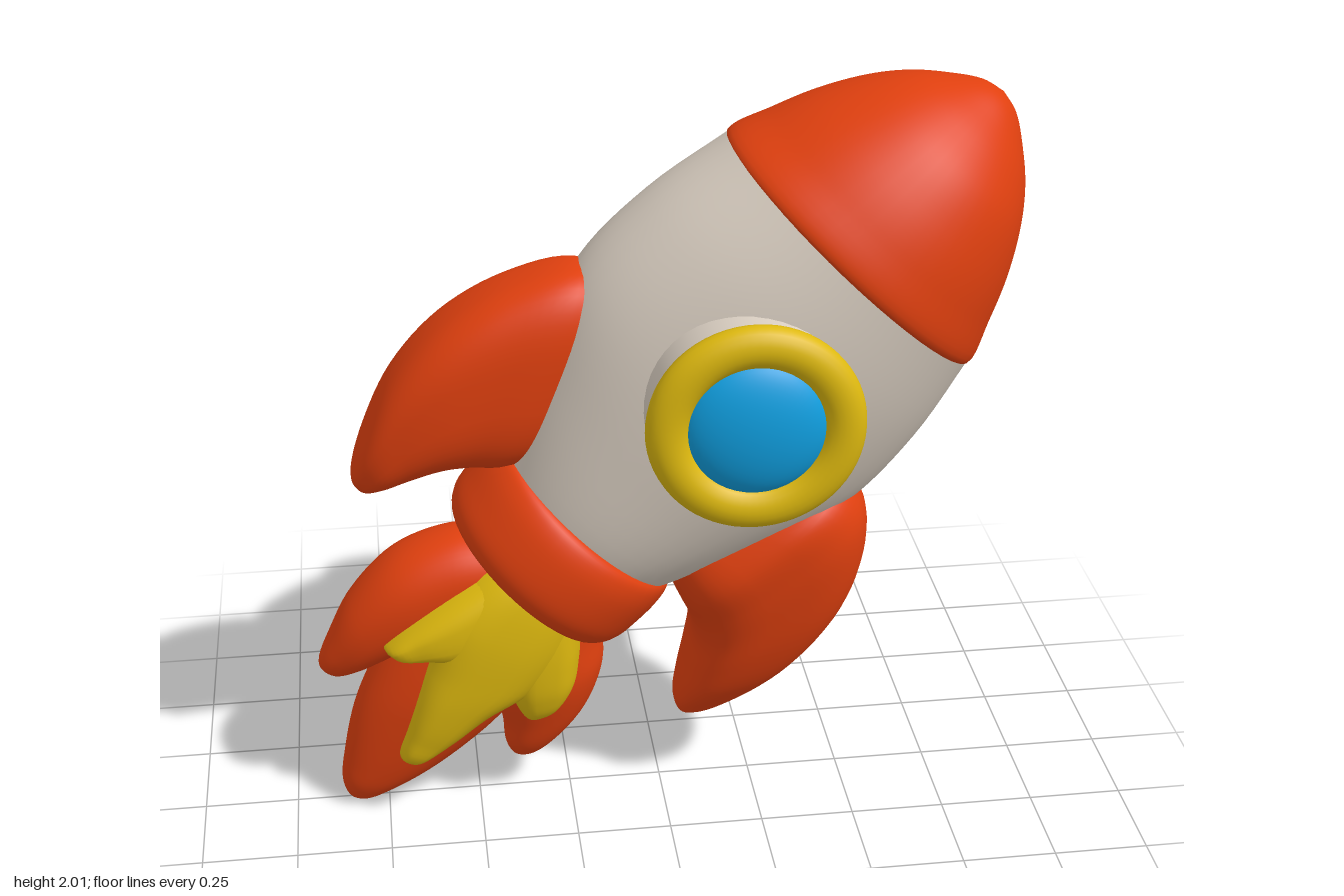
import * as THREE from 'three';

const mat = (name, color) => Object.assign(new THREE.MeshStandardMaterial({ color }), { name });

// Smooth loft through rows [ax, ay, bx, by, rz]: each section is a rounded
// oval spanning a to b in the xy plane, with half thickness rz along z.
// power 1 gives ellipses, smaller values give boxier sections.
function loft(rows, power = 1, steps = 6, sides = 48) {
  const first = rows[0], last = rows[rows.length - 1];
  const tx = last[0] + last[2] - first[0] - first[2];
  const ty = last[1] + last[3] - first[1] - first[3];
  const flip = (first[1] - first[3]) * tx - (first[0] - first[2]) * ty < 0;
  const curveA = new THREE.CatmullRomCurve3(rows.map(r => new THREE.Vector3(r[0], r[1], r[4])));
  const curveB = new THREE.CatmullRomCurve3(rows.map(r => new THREE.Vector3(r[2], r[3], r[4])));
  const round = v => Math.sign(v) * Math.pow(Math.abs(v), power);
  const n = (rows.length - 1) * steps;
  const pos = [], index = [];
  for (let i = 0; i <= n; i++) {
    let a = curveA.getPoint(i / n), b = curveB.getPoint(i / n);
    const rz = Math.max(0, (a.z + b.z) / 2);
    if (flip) [a, b] = [b, a];
    for (let j = 0; j < sides; j++) {
      const t = (j / sides) * Math.PI * 2;
      const c = round(Math.cos(t)), s = round(Math.sin(t));
      pos.push((a.x + b.x + (a.x - b.x) * c) / 2, (a.y + b.y + (a.y - b.y) * c) / 2, rz * s);
      if (i < n) {
        const k = i * sides + j, k2 = i * sides + (j + 1) % sides;
        index.push(k, k2, k + sides, k2, k2 + sides, k + sides);
      }
    }
  }
  const g = new THREE.BufferGeometry();
  g.setAttribute('position', new THREE.Float32BufferAttribute(pos, 3));
  g.setIndex(index);
  g.computeVertexNormals();
  return g;
}

// Section across the tilted rocket axis: s along the axis, rv in-plane radius, rz depth radius
const across = ([s, rv, rz]) => {
  const x = -0.2 + 0.69 * s, y = 0.855 + 0.724 * s;
  return [x - 0.724 * rv, y + 0.69 * rv, x + 0.724 * rv, y - 0.69 * rv, rz];
};

export function createModel() {
  const red = mat('red', 0xe0400f), white = mat('offWhite', 0xd8cdc0);
  const yellow = mat('yellow', 0xdeb90f), blue = mat('blue', 0x109fe0);
  const model = new THREE.Group();
  model.name = 'rocket';
  const add = (name, geometry, material, parent = model) => {
    const m = new THREE.Mesh(geometry, material);
    m.name = name;
    parent.add(m);
    return m;
  };

  // Hull, nose cone and tail collar
  add('hull', loft([
    [-0.08, 0.24, 0.22], [0, 0.28, 0.265], [0.25, 0.4, 0.315], [0.5, 0.485, 0.35],
    [0.75, 0.478, 0.37], [1.02, 0.418, 0.366],
  ].map(across)), white);
  add('noseCone', loft([
    [0.97, 0.39, 0.34], [0.99, 0.428, 0.378], [1.1, 0.385, 0.36], [1.21, 0.335, 0.325],
    [1.32, 0.268, 0.27], [1.4, 0.203, 0.2], [1.46, 0.133, 0.13], [1.51, 0.058, 0.058], [1.525, 0, 0],
  ].map(across)), red);
  add('tailCollar', loft([
    [0.03, 0.24, 0.22], [0.02, 0.29, 0.285], [-0.02, 0.302, 0.305], [-0.1, 0.302, 0.31],
    [-0.17, 0.295, 0.3], [-0.21, 0.272, 0.275], [-0.22, 0.24, 0.24], [-0.2, 0, 0],
  ].map(across)), red);

  // Fins
  add('rightFin', loft([
    [-0.1, 1.5, -0.3, 1.05, 0.13], [-0.2, 1.56, -0.42, 1.03, 0.16], [-0.38, 1.525, -0.5, 1.035, 0.16],
    [-0.55, 1.43, -0.57, 1.03, 0.155], [-0.68, 1.29, -0.64, 1.01, 0.138], [-0.76, 1.13, -0.71, 0.985, 0.11],
    [-0.795, 1.02, -0.76, 0.97, 0.06], [-0.79, 0.98, -0.79, 0.98, 0],
  ], 0.7), red);
  add('leftFin', loft([
    [0.33, 0.96, 0, 0.72, 0.2], [0.46, 0.975, 0.04, 0.63, 0.25], [0.53, 0.9, 0.075, 0.55, 0.24],
    [0.545, 0.78, 0.085, 0.48, 0.22], [0.5, 0.6, 0.07, 0.4, 0.19], [0.38, 0.42, 0.05, 0.32, 0.145],
    [0.24, 0.295, 0.04, 0.26, 0.09], [0.12, 0.23, 0.05, 0.23, 0.05], [0.07, 0.22, 0.07, 0.22, 0],
  ], 0.7), red);

  // Outer flame: three tongues
  const outer = [
    [[-0.36, 0.82, -0.14, 0.62, 0.13], [-0.5, 0.8, -0.2, 0.55, 0.15], [-0.68, 0.6, -0.3, 0.42, 0.15],
      [-0.78, 0.42, -0.42, 0.28, 0.14], [-0.83, 0.3, -0.5, 0.2, 0.12], [-0.865, 0.15, -0.62, 0.105, 0.09],
      [-0.875, 0.07, -0.72, 0.045, 0.065], [-0.86, 0.02, -0.79, 0.01, 0.035], [-0.83, 0.003, -0.83, 0.003, 0]],
    [[-0.42, 0.82, -0.4, 0.6, 0.12], [-0.55, 0.825, -0.55, 0.55, 0.13], [-0.7, 0.77, -0.66, 0.5, 0.13],
      [-0.82, 0.65, -0.74, 0.46, 0.11], [-0.88, 0.54, -0.8, 0.43, 0.08], [-0.915, 0.45, -0.86, 0.41, 0.04],
      [-0.9, 0.42, -0.9, 0.42, 0]],
    [[-0.38, 0.7, -0.15, 0.66, 0.11], [-0.4, 0.55, -0.15, 0.6, 0.12], [-0.45, 0.45, -0.155, 0.51, 0.13],
      [-0.45, 0.33, -0.155, 0.41, 0.13], [-0.43, 0.23, -0.2, 0.28, 0.1], [-0.425, 0.16, -0.28, 0.175, 0.07],
      [-0.41, 0.125, -0.34, 0.125, 0.04], [-0.39, 0.11, -0.39, 0.11, 0]],
  ];
  // Inner flame: thicker, showing on both faces
  const inner = [
    [[-0.34, 0.81, -0.16, 0.65, 0.17], [-0.44, 0.78, -0.21, 0.6, 0.2], [-0.58, 0.66, -0.25, 0.5, 0.215],
      [-0.64, 0.5, -0.33, 0.4, 0.21], [-0.67, 0.4, -0.45, 0.33, 0.2], [-0.7, 0.29, -0.56, 0.245, 0.18],
      [-0.72, 0.21, -0.65, 0.185, 0.15], [-0.7, 0.17, -0.7, 0.17, 0]],
    [[-0.38, 0.8, -0.38, 0.58, 0.18], [-0.55, 0.71, -0.52, 0.5, 0.2], [-0.67, 0.625, -0.62, 0.51, 0.19],
      [-0.735, 0.565, -0.69, 0.52, 0.165], [-0.75, 0.54, -0.75, 0.54, 0]],
    [[-0.38, 0.7, -0.18, 0.66, 0.17], [-0.4, 0.58, -0.21, 0.6, 0.19], [-0.42, 0.46, -0.22, 0.49, 0.195],
      [-0.415, 0.37, -0.235, 0.4, 0.185], [-0.385, 0.3, -0.28, 0.33, 0.15], [-0.35, 0.28, -0.35, 0.28, 0]],
  ];
  outer.forEach((rows, i) => add('outerFlame' + (i + 1), loft(rows, 0.9), red));
  inner.forEach((rows, i) => add('innerFlame' + (i + 1), loft(rows, 0.65), yellow));

  // Portholes on both faces
  for (const side of [1, -1]) {
    const porthole = new THREE.Group();
    porthole.name = side > 0 ? 'frontPorthole' : 'backPorthole';
    porthole.position.set(0.195, 1.285, 0);
    porthole.rotation.y = side > 0 ? -0.03 : Math.PI + 0.03;
    const shoulder = new THREE.CylinderGeometry(0.252, 0.275, 0.2, 48);
    shoulder.rotateX(Math.PI / 2);
    add('shoulder', shoulder, white, porthole).position.z = 0.295;
    const rim = add('rim', new THREE.TorusGeometry(0.215, 0.054, 20, 64), yellow, porthole);
    rim.scale.z = 0.8;
    rim.position.z = 0.41;
    const glass = new THREE.SphereGeometry(0.18, 40, 16, 0, Math.PI * 2, 0, Math.PI / 2);
    glass.rotateX(Math.PI / 2);
    const pane = add('glass', glass, blue, porthole);
    pane.scale.z = 0.4;
    pane.position.z = 0.402;
    model.add(porthole);
  }
  return model;
}
